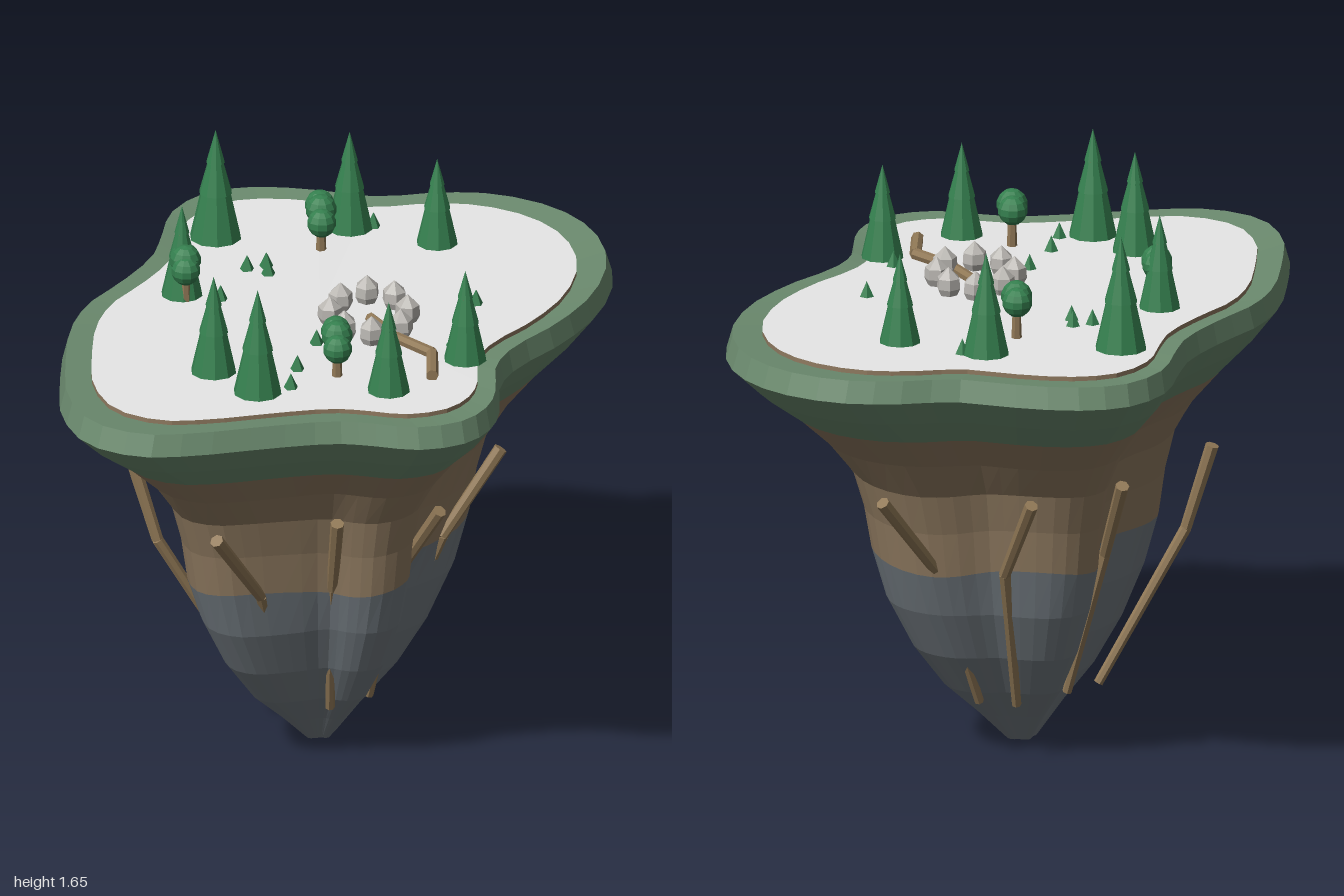
import * as THREE from 'three';

const mat = (name, color) => {
  const m = new THREE.MeshStandardMaterial({ color, flatShading: true });
  m.name = name;
  return m;
};

export function createModel() {
  const grass = mat('grass green', 0x6b8a6e);
  const soil = mat('soil brown', 0x8f7a60);
  const rock = mat('rock grey', 0x71797f);
  const ground = mat('pale ground', 0xe8e8e8);
  const leaf = mat('leaf green', 0x35804f);
  const wood = mat('wood brown', 0x907856);
  const stone = mat('stone grey', 0xbab7b2);

  const model = new THREE.Group();
  model.name = 'floatingIsland';
  const add = (parent, name, geo, material, x = 0, y = 0, z = 0) => {
    const m = new THREE.Mesh(geo, material);
    m.name = name;
    m.position.set(x, y, z);
    parent.add(m);
    return m;
  };
  const group = (name) => {
    const g = new THREE.Group();
    g.name = name;
    model.add(g);
    return g;
  };

  // Island shoreline as seen from above (x, z)
  const shore = [
    [0.28, -0.86], [0.42, -0.80], [0.55, -0.66], [0.65, -0.52], [0.80, -0.43], [0.92, -0.32],
    [0.995, -0.14], [0.985, 0.05], [0.88, 0.25], [0.69, 0.41], [0.48, 0.50], [0.27, 0.55],
    [0.15, 0.62], [0.05, 0.74], [-0.05, 0.82], [-0.17, 0.85], [-0.30, 0.80], [-0.38, 0.70],
    [-0.45, 0.62], [-0.60, 0.53], [-0.80, 0.43], [-0.94, 0.33], [-1.0, 0.17], [-0.94, -0.02],
    [-0.80, -0.20], [-0.63, -0.38], [-0.48, -0.48], [-0.30, -0.54], [-0.12, -0.62], [0.0, -0.72],
    [0.12, -0.82],
  ].map(([x, z]) => new THREE.Vector3(x, 0, z));
  const N = 64;
  const outline = new THREE.CatmullRomCurve3(shore, true).getPoints(N).slice(0, N);

  // Skin through scaled copies of the shoreline: rings of [y, scale, waviness, valley depth]
  const loft = (rings) => {
    const pos = [], idx = [];
    rings.forEach(([y, s, wave = 0, valley = 0]) => outline.forEach((p, i) => {
      const k = s * (1 - valley * Math.max(0, 0.8 - p.length()));
      pos.push(p.x * k, y + wave * Math.sin(i / N * Math.PI * 10), p.z * k);
    }));
    for (let r = 0; r < rings.length - 1; r++) {
      for (let i = 0; i < N; i++) {
        const j = (i + 1) % N;
        const a = r * N + i, b = r * N + j, c = a + N, d = b + N;
        if (rings[r][1] > 0) idx.push(a, c, b);
        if (rings[r + 1][1] > 0) idx.push(c, d, b);
      }
    }
    const g = new THREE.BufferGeometry();
    g.setAttribute('position', new THREE.Float32BufferAttribute(pos, 3));
    g.setIndex(idx);
    g.computeVertexNormals();
    return g;
  };

  // Island layers; the grass rim dips slightly inward to meet the ground
  add(model, 'rockBase', loft([[0.012, 0], [0.005, 0.055], [0.1, 0.155, 0, 0.9], [0.2, 0.27, 0, 1.1],
    [0.33, 0.375, 0, 1.1], [0.48, 0.46, 0, 1], [0.62, 0.51, 0.012, 0.8]]), rock);
  add(model, 'soilLayer', loft([[0.62, 0.51, 0.012, 0.8], [0.75, 0.535, 0.008, 0.65], [0.87, 0.575, 0.006, 0.5],
    [0.98, 0.665, 0, 0.25], [1.085, 0.785]]), soil);
  add(model, 'grassRim', loft([[1.085, 0.785], [1.17, 0.905], [1.255, 1], [1.318, 0.978], [1.308, 0.87]]), grass);
  add(model, 'soilEdge', loft([[1.3, 0.877], [1.322, 0.877]]), soil);
  add(model, 'groundTop', loft([[1.322, 0.877], [1.328, 0]]), ground);
  const TOP = 1.325;

  // Tapered rods chained through points
  const chain = (parent, name, pts, r0, r1) => {
    for (let i = 0; i < pts.length - 1; i++) {
      const a = new THREE.Vector3(...pts[i]), b = new THREE.Vector3(...pts[i + 1]);
      const n = pts.length - 1, at = (k) => r0 + (r1 - r0) * k / n;
      const dir = b.clone().sub(a);
      const m = add(parent, name, new THREE.CylinderGeometry(at(i + 1), at(i), dir.length(), 7), wood);
      m.position.copy(a).add(b).multiplyScalar(0.5);
      m.quaternion.setFromUnitVectors(new THREE.Vector3(0, 1, 0), dir.normalize());
    }
  };

  // Roots hanging down the flanks: [x, z] at the top, middle and bottom
  const roots = group('roots');
  [
    [[0.66, -0.20], [0.44, -0.17], [0.235, -0.10]],
    [[0.42, 0.30], [0.265, 0.225], [0.17, 0.07]],
    [[0.01, 0.52], [0.0, 0.34], [0.03, 0.18]],
    [[-0.27, 0.40], [-0.21, 0.305], [-0.11, 0.175]],
    [[-0.61, 0.27], [-0.40, 0.215], [-0.19, 0.08]],
    [[-0.42, -0.34], [-0.375, -0.275], [-0.14, -0.17]],
    [[0.02, -0.49], [-0.04, -0.33], [-0.02, -0.18]],
    [[0.34, -0.48], [0.305, -0.31], [0.17, -0.19]],
  ].forEach((p) => chain(roots, 'root',
    p.map(([x, z], i) => [x, [0.875, 0.62, 0.175][i], z]), 0.02, 0.014));

  // Fallen log winding out of the stone ring
  chain(group('path'), 'log', [[0.06, TOP + 0.012, 0.15], [0.03, TOP + 0.012, 0.30],
    [0.04, TOP + 0.012, 0.45], [-0.06, TOP + 0.012, 0.57]], 0.016, 0.018);

  // Conifers: [x, z, radius, height], each a trunk in three stepped tiers
  const conifers = group('conifers');
  [
    [0.095, -0.58, 0.075, 0.335], [0.43, -0.385, 0.067, 0.30], [0.555, -0.145, 0.06, 0.262],
    [-0.23, -0.34, 0.06, 0.275], [-0.50, 0.125, 0.066, 0.295], [-0.495, 0.315, 0.07, 0.318],
    [-0.20, 0.545, 0.062, 0.275], [0.105, 0.52, 0.062, 0.275],
  ].forEach(([x, z, r, h]) => {
    add(conifers, 'coniferTrunk', new THREE.CylinderGeometry(r * 0.3, 0.02, h * 0.73, 6), wood, x, TOP + h * 0.365, z);
    [[0, 0.42, 1, 0.58], [0.42, 0.72, 0.64, 0.28], [0.7, 1, 0.36, 0]].forEach(([y0, y1, k0, k1]) => add(conifers,
      'coniferTier', new THREE.CylinderGeometry(r * k1, r * k0, (y1 - y0) * h, 10), leaf, x, TOP + (y0 + y1) / 2 * h, z));
  });

  // Round trees: trunk with three clumps of leaves
  const roundTrees = group('roundTrees');
  [[-0.25, -0.30, 0.6], [0.27, -0.32, 1], [-0.25, 0.375, 1]].forEach(([x, z, k]) => {
    add(roundTrees, 'roundTrunk', new THREE.CylinderGeometry(0.011, 0.015, 0.1, 6), wood, x, TOP + 0.05, z);
    [[-0.03, 0.105, 0.038, 0.042], [0, 0.125, 0, 0.045], [0.027, 0.12, -0.038, 0.043]].forEach(([dx, y, dz, r]) =>
      add(roundTrees, 'leafClump', new THREE.SphereGeometry(r, 10, 7), leaf, x + dx * k, TOP + y, z + dz * k));
  });

  // Saplings
  const saplings = group('saplings');
  [
    [0.02, -0.35], [0.075, -0.33], [0.045, -0.285], [-0.17, -0.24], [-0.155, 0.17], [-0.31, 0.27],
    [-0.405, 0.355], [0.135, 0.43], [0.37, 0.25], [0.485, -0.345],
  ].forEach(([x, z]) => add(saplings, 'sapling', new THREE.ConeGeometry(0.021, 0.045, 5), leaf, x, TOP + 0.0225, z));

  // Ring of pointed standing stones
  const stones = group('stoneRing');
  const profile = [[0, 0], [0.024, 0], [0.036, 0.025], [0.034, 0.055], [0, 0.088]].map((p) => new THREE.Vector2(...p));
  [
    [0.05, 0.03], [0.14, 0.04], [0.177, 0.118], [0.145, 0.215], [0.065, 0.28], [-0.03, 0.265],
    [-0.065, 0.185], [-0.035, 0.085],
  ].forEach(([x, z], i) => {
    const s = add(stones, 'stone', new THREE.LatheGeometry(profile, 6), stone, x, TOP - 0.004, z);
    s.rotation.y = i * 1.3;
  });

  return model;
}
